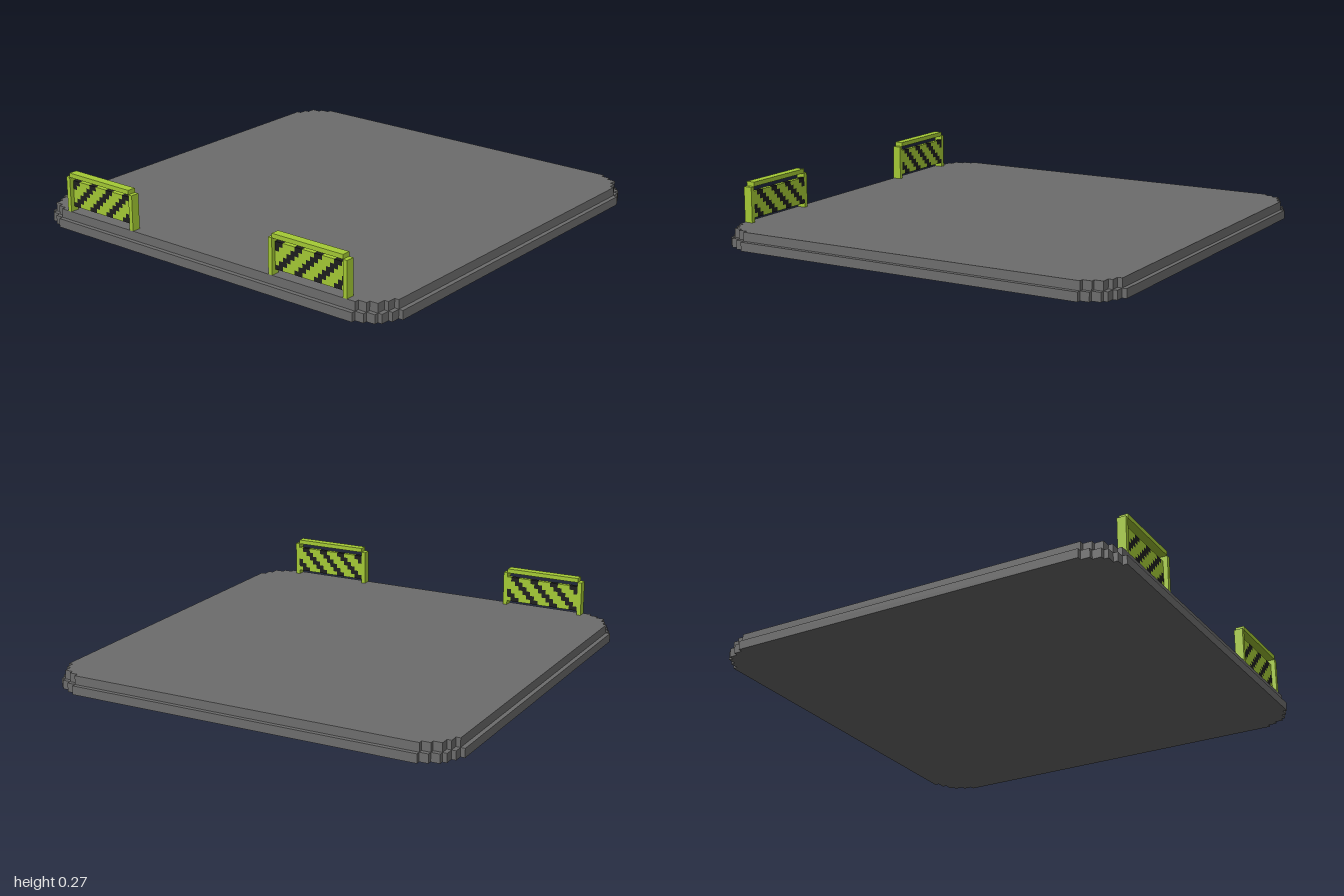
import * as THREE from 'three';
import { mergeGeometries } from 'three/addons/utils/BufferGeometryUtils.js';

const V = 2 / 96; // edge length of one block
const HALF = 48;  // half of the platform side, in blocks

// Box given by its limits in blocks
function block(x0, x1, y0, y1, z0, z1) {
  const g = new THREE.BoxGeometry((x1 - x0) * V, (y1 - y0) * V, (z1 - z0) * V);
  return g.translate((x0 + x1) / 2 * V, (y0 + y1) / 2 * V, (z0 + z1) / 2 * V);
}

// Square slab whose four corners follow the same stepped outline
function slab(corner, y0, y1) {
  const points = [];
  for (let k = 0; k < 4; k++) {
    for (const [a, b] of corner) {
      let x = HALF - a, y = HALF - b;
      for (let i = 0; i < k; i++) [x, y] = [-y, x];
      points.push(new THREE.Vector2(x * V, y * V));
    }
  }
  const g = new THREE.ExtrudeGeometry(new THREE.Shape(points), {
    depth: (y1 - y0) * V, bevelEnabled: false,
  });
  return g.rotateX(-Math.PI / 2).translate(0, y0 * V, 0);
}

export function createModel() {
  const gray = new THREE.MeshStandardMaterial({ name: 'platform gray', color: 0x6d6d6d });
  const green = new THREE.MeshStandardMaterial({ name: 'barrier lime', color: 0xa5cb35 });
  const black = new THREE.MeshStandardMaterial({ name: 'stripe black', color: 0x1e1e1e });

  const model = new THREE.Group();
  model.name = 'platformWithBarriers';
  const add = (parent, name, geometry, material) => {
    const mesh = new THREE.Mesh(geometry, material);
    mesh.name = name;
    parent.add(mesh);
  };

  // Platform: two slabs, the upper one set in by one block
  const lowerCorner = [[0, 7], [1, 7], [1, 5], [2, 5], [2, 3], [3, 3], [3, 2], [5, 2], [5, 1], [7, 1], [7, 0]];
  const upperCorner = [[1, 7], [2, 7], [2, 5], [3, 5], [3, 3], [5, 3], [5, 2], [7, 2], [7, 1]];
  add(model, 'lowerSlab', slab(lowerCorner, 0, 2), gray);
  add(model, 'upperSlab', slab(upperCorner, 2, 4), gray);

  // Barriers at the front edge
  for (const [name, x] of [['rightBarrier', -39], ['leftBarrier', 19]]) {
    const barrier = new THREE.Group();
    barrier.name = name;
    add(barrier, 'rightPost', block(x, x + 1, 4, 12, 45, 47), green);
    add(barrier, 'leftPost', block(x + 19, x + 20, 4, 12, 45, 47), green);
    add(barrier, 'topRail', block(x + 1, x + 19, 12, 13, 45, 47), green);

    // Panel with diagonal stripes, made of runs of equal colour in each row
    const runs = { plain: [], stripe: [] };
    const isStripe = (c, r) => (c + r) % 5 < 2;
    for (let r = 0; r < 6; r++) {
      for (let c = 0, end; c < 18; c = end) {
        const dark = isStripe(c, r);
        for (end = c + 1; end < 18 && isStripe(end, r) === dark;) end++;
        runs[dark ? 'stripe' : 'plain'].push(block(x + 1 + c, x + 1 + end, 10 - r, 11 - r, 45, 46));
      }
    }
    add(barrier, 'panel', mergeGeometries(runs.plain), green);
    add(barrier, 'panelStripes', mergeGeometries(runs.stripe), black);
    model.add(barrier);
  }
  return model;
}
